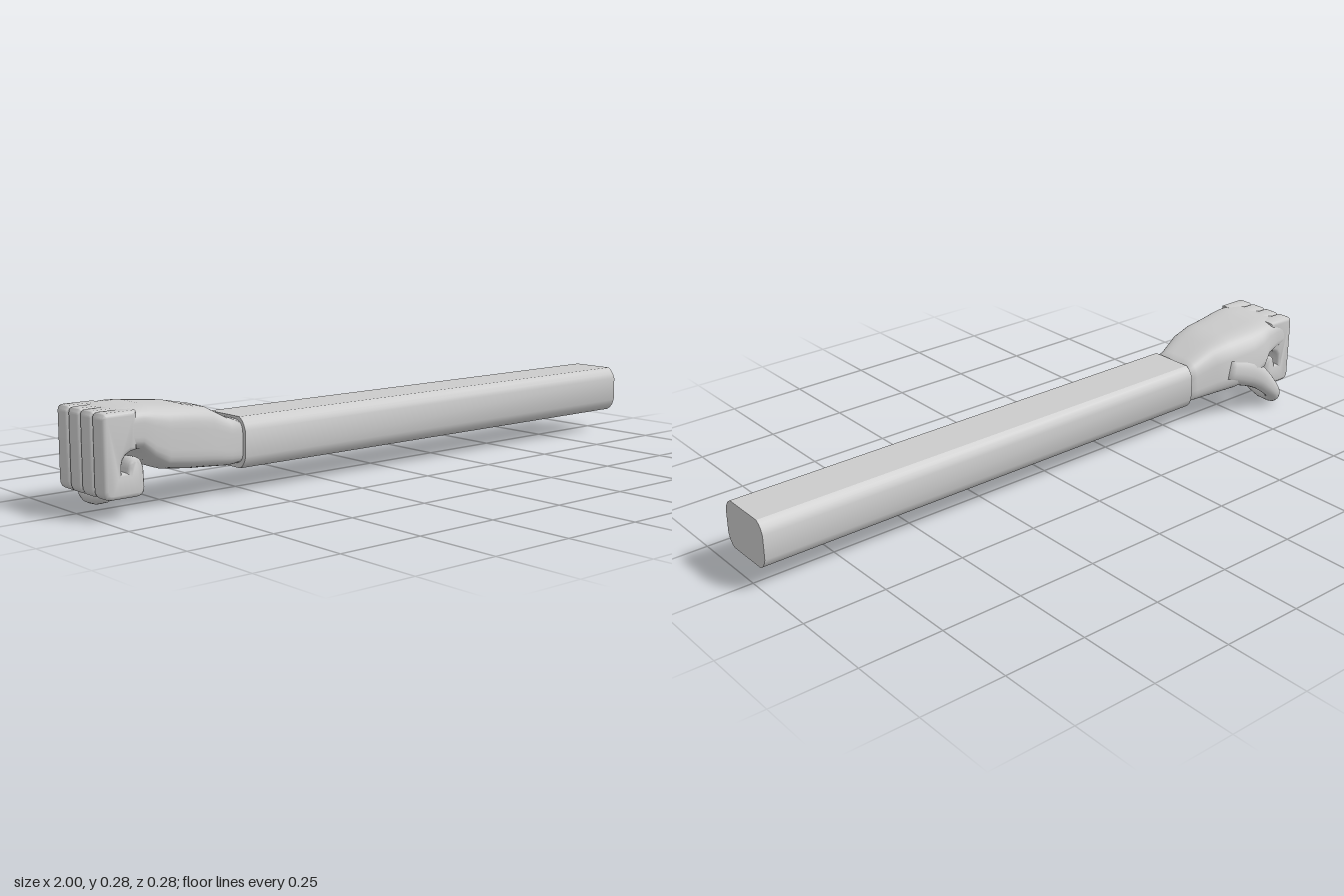
import * as THREE from 'three';
import { toCreasedNormals } from 'three/addons/utils/BufferGeometryUtils.js';

const V = (x, y, z) => new THREE.Vector3(x, y, z);
const spow = (t, n) => Math.sign(t) * Math.pow(Math.abs(t), 2 / n);

// Closed skin over rings { c, u, v, n, skew }: centre, half axes, squareness, top-edge taper
function loft(rings, sides) {
  const pos = [], idx = [];
  for (const { c, u, v, n = 2, skew = 0 } of rings) {
    for (let j = 0; j < sides; j++) {
      const a = (j + 0.5) / sides * Math.PI * 2;
      let p = spow(Math.cos(a), n);
      const q = spow(Math.sin(a), n);
      if (p < 0) p *= 1 - skew * Math.max(0, q);
      pos.push(...c.clone().addScaledVector(u, p).addScaledVector(v, q).toArray());
    }
  }
  const last = (rings.length - 1) * sides, end = pos.length / 3;
  pos.push(...rings[0].c.toArray(), ...rings[rings.length - 1].c.toArray());
  for (let j = 0; j < sides; j++) {
    const k = (j + 1) % sides;
    for (let i = 0; i < last; i += sides) {
      idx.push(i + j, i + k, i + sides + j, i + k, i + sides + k, i + sides + j);
    }
    idx.push(end, k, j, end + 1, last + j, last + k);
  }
  const g = new THREE.BufferGeometry();
  g.setAttribute('position', new THREE.Float32BufferAttribute(pos, 3));
  g.setIndex(idx);
  g.computeVertexNormals();
  return g;
}

export function createModel() {
  const model = new THREE.Group();
  model.name = 'forearmAndFist';
  const mat = new THREE.MeshStandardMaterial({ color: 0xcccccc });
  const add = (name, geo, parent = model) => {
    const m = new THREE.Mesh(geo, mat);
    m.name = name;
    parent.add(m);
    return m;
  };

  // Sleeve: long bar with softened corners, shape x is -z
  const [l, r, b, t, cx, cy] = [-0.112, 0.078, 0.068, 0.21, 0.027, 0.035];
  const s = new THREE.Shape();
  s.moveTo(l + cx, b);
  s.lineTo(r - cx, b);
  s.quadraticCurveTo(r - 0.008, b + 0.008, r, b + cy);
  s.lineTo(r, t - cy);
  s.quadraticCurveTo(r - 0.008, t - 0.008, r - cx, t);
  s.lineTo(l + cx, t);
  s.quadraticCurveTo(l + 0.008, t - 0.008, l, t - cy);
  s.lineTo(l, b + cy);
  s.quadraticCurveTo(l + 0.008, b + 0.008, l + cx, b);
  const sleeve = new THREE.ExtrudeGeometry(s, { depth: 1.545, bevelEnabled: false, curveSegments: 3 });
  sleeve.rotateY(Math.PI / 2).translate(-0.545, 0, 0);
  add('sleeve', toCreasedNormals(sleeve, 0.5));

  const hand = new THREE.Group();
  hand.name = 'hand';
  model.add(hand);

  // Wrist and palm: x, bottom, top, back z, front z, taper on the thumb side
  const palm = [
    [-0.53, 0.08, 0.2, -0.07, 0.1, 0.1],
    [-0.58, 0.077, 0.213, -0.072, 0.103, 0.15],
    [-0.65, 0.084, 0.248, -0.095, 0.122, 0.25],
    [-0.72, 0.09, 0.262, -0.115, 0.135, 0.3],
    [-0.8, 0.1, 0.27, -0.126, 0.141, 0.3],
    [-0.845, 0.128, 0.275, -0.122, 0.143, 0.25],
    [-0.88, 0.163, 0.276, -0.107, 0.143, 0.15],
    [-0.93, 0.17, 0.273, -0.092, 0.143, 0.05],
    [-0.965, 0.175, 0.267, -0.087, 0.14, 0.05],
    [-0.975, 0.19, 0.25, -0.07, 0.12, 0],
  ];
  add('palm', loft(palm.map(([x, y0, y1, z0, z1, skew]) => ({
    c: V(x, (y0 + y1) / 2, (z0 + z1) / 2),
    u: V(0, 0, (z1 - z0) / 2),
    v: V(0, (y1 - y0) / 2, 0),
    n: 4.5, skew,
  })), 40), hand);

  // Four fingers: hooked side outline with rounded edges
  const hook = new THREE.Shape();
  hook.moveTo(-0.9, 0.272);
  hook.lineTo(-0.985, 0.272);
  hook.quadraticCurveTo(-1, 0.272, -1, 0.255);
  hook.lineTo(-1, 0.075);
  hook.quadraticCurveTo(-1, 0.05, -0.975, 0.05);
  hook.lineTo(-0.905, 0.05);
  hook.quadraticCurveTo(-0.88, 0.05, -0.88, 0.075);
  hook.lineTo(-0.882, 0.125);
  hook.quadraticCurveTo(-0.89, 0.155, -0.908, 0.153);
  hook.quadraticCurveTo(-0.93, 0.15, -0.931, 0.115);
  hook.lineTo(-0.946, 0.115);
  hook.quadraticCurveTo(-0.952, 0.17, -0.9, 0.172);
  const bev = 0.012, edges = [0.143, 0.087, 0.028, -0.03, -0.086];
  ['little', 'ring', 'middle', 'index'].forEach((name, i) => {
    const g = new THREE.ExtrudeGeometry(hook, {
      depth: edges[i] - edges[i + 1] - 2 * bev, curveSegments: 5,
      bevelThickness: bev, bevelSize: bev, bevelOffset: -bev, bevelSegments: 3,
    });
    g.translate(0, 0, edges[i + 1] + bev);
    add(name + 'Finger', toCreasedNormals(g, 0.8), hand);
  });

  // Thumb: drops from the palm, then turns across under the fingers
  const path = new THREE.CatmullRomCurve3([
    V(-0.70, 0.165, -0.07), V(-0.78, 0.14, -0.09), V(-0.84, 0.1, -0.104),
    V(-0.887, 0.05, -0.114), V(-0.907, 0.025, -0.1), V(-0.908, 0.023, -0.05), V(-0.908, 0.023, 0.002),
  ]);
  const sizes = [[0.04, 0.05], [0.04, 0.05], [0.031, 0.036], [0.026, 0.025], [0.024, 0.024], [0.023, 0.023], [0.008, 0.009]];
  const side = V(1, -1, 0).normalize();
  const rings = [], steps = 24;
  for (let i = 0; i <= steps; i++) {
    const f = i / steps * (sizes.length - 1), k = Math.min(Math.floor(f), sizes.length - 2);
    const size = a => THREE.MathUtils.lerp(sizes[k][a], sizes[k + 1][a], f - k);
    const tan = path.getTangent(i / steps);
    const u = side.clone().cross(tan).normalize();
    const v = tan.clone().cross(u).normalize();
    rings.push({ c: path.getPoint(i / steps), u: u.multiplyScalar(size(0)), v: v.multiplyScalar(size(1)), n: 2.2 });
  }
  add('thumb', loft(rings, 18), hand);

  return model;
}
